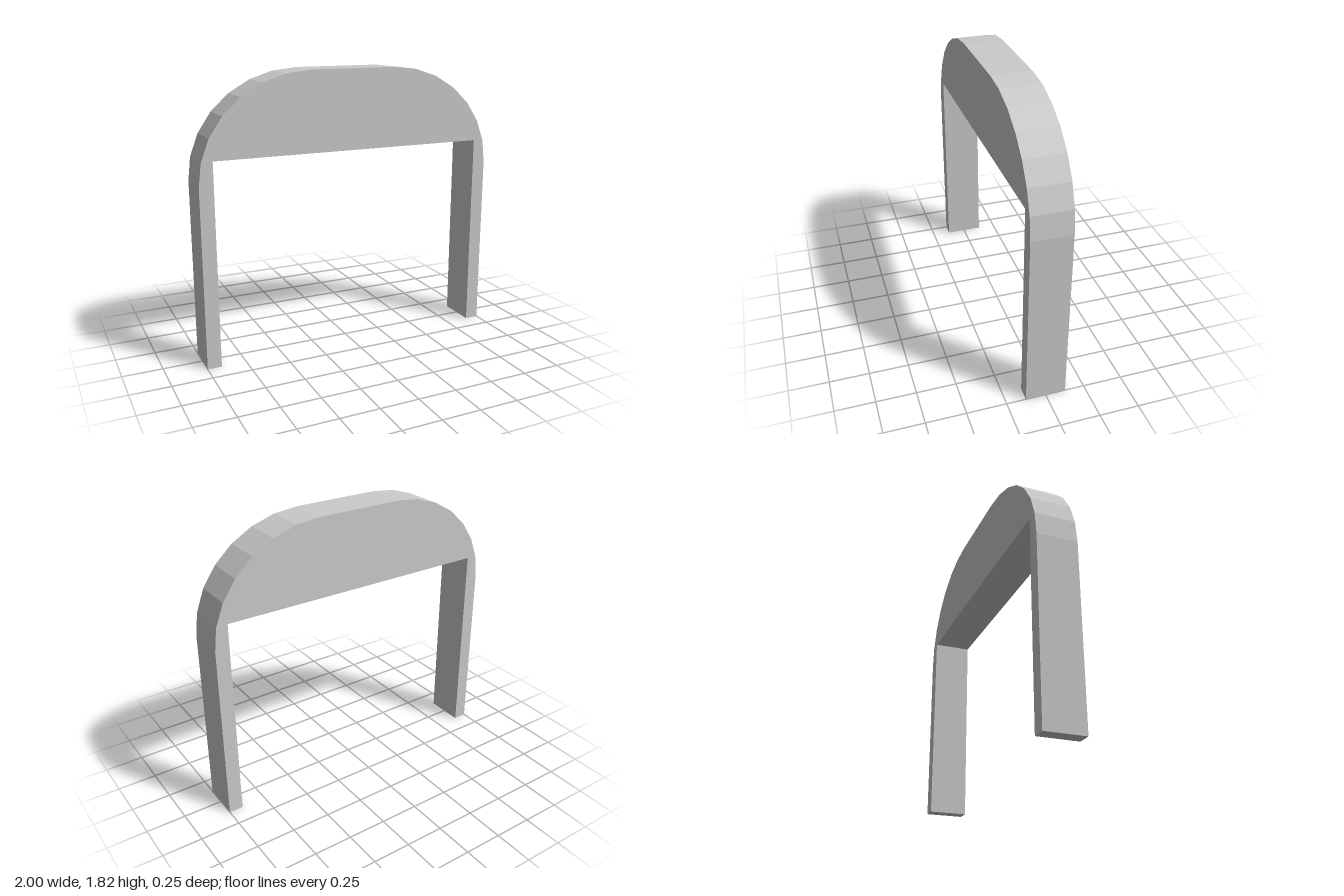
import * as THREE from 'three';

const DEPTH = 0.254;
const SEGMENTS = 7; // facets per rounded shoulder

// Outline of the portal: two slim legs under a solid, round-shouldered head
function portalShape() {
  const springY = 1.15, shoulderX = 0.28, rx = 0.72, ry = 0.665;
  const legInner = 0.91, lintelY = 1.305;

  const shoulder = [];
  for (let i = 0; i <= SEGMENTS; i++) {
    const a = (i / SEGMENTS) * Math.PI / 2;
    shoulder.push(new THREE.Vector2(shoulderX + rx * Math.cos(a), springY + ry * Math.sin(a)));
  }
  const half = [
    new THREE.Vector2(legInner, lintelY),
    new THREE.Vector2(legInner, 0),
    new THREE.Vector2(1, 0),
    ...shoulder,
  ];
  const mirrored = half.map((p) => new THREE.Vector2(-p.x, p.y)).reverse();
  return new THREE.Shape([...half, ...mirrored]);
}

export function createModel() {
  const model = new THREE.Group();
  model.name = 'archway';

  const geometry = new THREE.ExtrudeGeometry(portalShape(), { depth: DEPTH, bevelEnabled: false });
  geometry.translate(0, 0, -DEPTH / 2);

  const material = new THREE.MeshStandardMaterial({ color: 0xcccccc, flatShading: true });
  const frame = new THREE.Mesh(geometry, material);
  frame.name = 'archFrame';
  model.add(frame);
  return model;
}
